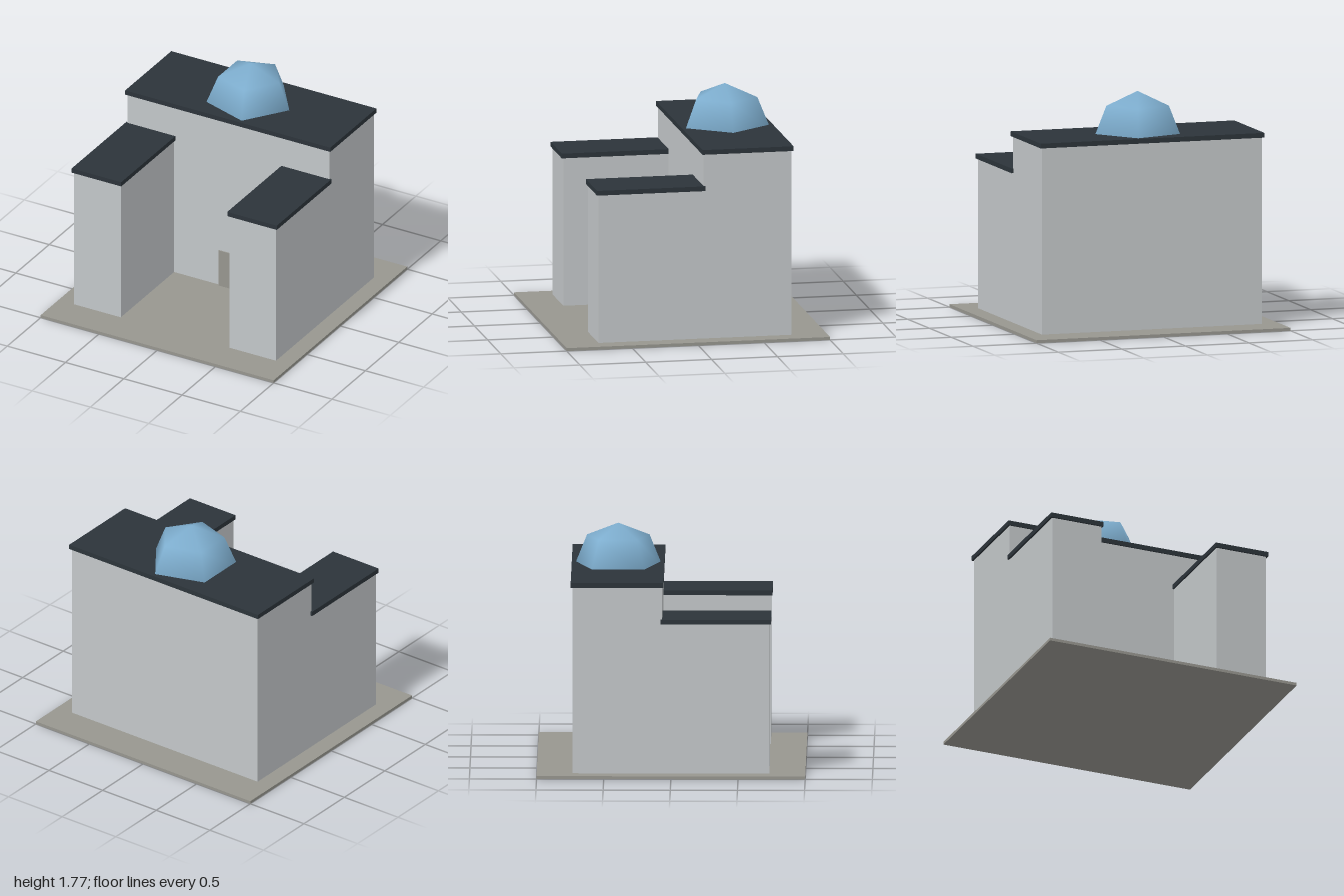
import * as THREE from 'three';

const material = (name, color) => {
  const m = new THREE.MeshStandardMaterial({ color });
  m.name = name;
  return m;
};

export function createModel() {
  const model = new THREE.Group();
  model.name = 'domedBuilding';

  const wall = material('pale grey wall', 0xc3c7c9);
  const roof = material('dark slate roof', 0x2c343a);
  const stone = material('warm grey stone', 0x97968f);
  const glass = material('blue dome', 0x7eaecf);

  // Box given by its lower and upper corners
  const box = (name, mat, [x0, y0, z0], [x1, y1, z1]) => {
    const mesh = new THREE.Mesh(new THREE.BoxGeometry(x1 - x0, y1 - y0, z1 - z0), mat);
    mesh.position.set((x0 + x1) / 2, (y0 + y1) / 2, (z0 + z1) / 2);
    mesh.name = name;
    model.add(mesh);
  };

  // Ground slab
  box('groundSlab', stone, [-1, 0, -1], [1, 0.022, 1]);

  // Main hall with its overhanging flat roof
  box('mainHall', wall, [-0.866, 0.022, -0.732], [0.866, 1.424, -0.066]);
  box('mainRoof', roof, [-0.88, 1.424, -0.747], [0.88, 1.46, -0.056]);

  // Two lower wings reaching forward
  for (const [side, s] of [['left', 1], ['right', -1]]) {
    const xs = (a, b) => (s > 0 ? [a, b] : [-b, -a]);
    const [w0, w1] = xs(0.466, 0.866);
    box(side + 'Wing', wall, [w0, 0.022, -0.066], [w1, 1.147, 0.732]);
    const [r0, r1] = xs(0.455, 0.88);
    box(side + 'WingRoof', roof, [r0, 1.147, -0.077], [r1, 1.183, 0.745]);
  }

  // Thin door plate on the courtyard wall
  box('door', stone, [-0.079, 0.022, -0.061], [0.079, 0.32, -0.052]);

  // Five-sided dome, one corner towards the left
  const dome = new THREE.Mesh(
    new THREE.SphereGeometry(0.346, 5, 2, 0, Math.PI * 2, 0, Math.PI / 2), glass);
  dome.position.set(0, 1.424, -0.4);
  dome.rotation.y = Math.PI;
  dome.name = 'dome';
  model.add(dome);

  return model;
}
